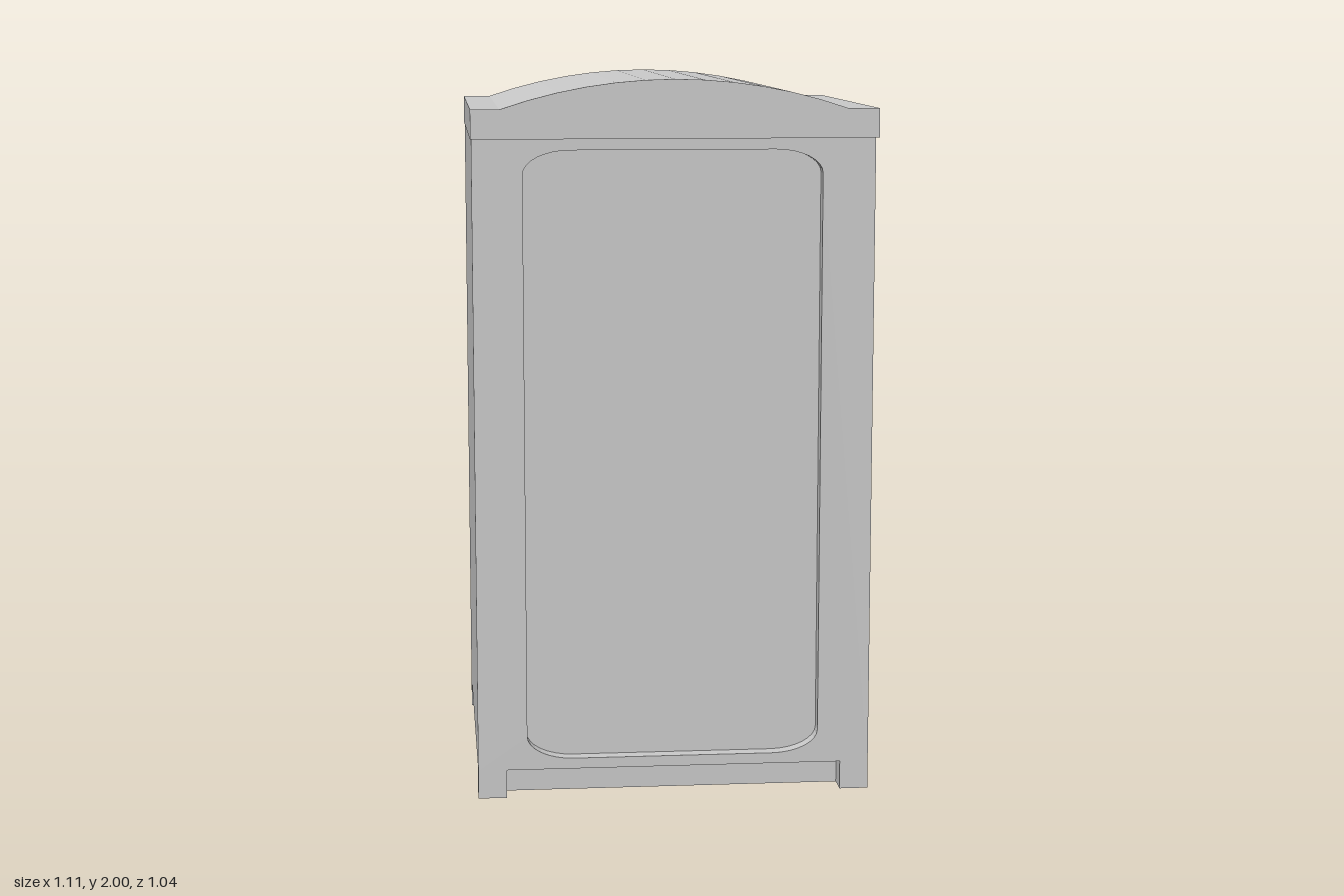
import * as THREE from 'three';

const material = new THREE.MeshStandardMaterial({ color: 0xcccccc });

// Outer limits of the cabinet
const X0 = -0.556, X1 = 0.547, Z = 0.513;
const FOOT_W = 0.08, FOOT_D = 0.066, FOOT_H = 0.08;
const LID_Y = 1.84, RECESS = 0.04;

function add(parent, name, geometry) {
  const mesh = new THREE.Mesh(geometry, material);
  mesh.name = name;
  parent.add(mesh);
}

// Box given by its two opposite corners
function boxBetween(x0, x1, y0, y1, z0, z1) {
  return new THREE.BoxGeometry(x1 - x0, y1 - y0, z1 - z0)
    .translate((x0 + x1) / 2, (y0 + y1) / 2, (z0 + z1) / 2);
}

// Rectangle outline with elliptical corners
function softRect(x0, x1, y0, y1, rx, ry) {
  const p = new THREE.Path(), k = 0.45;
  p.moveTo(x0 + rx, y0);
  p.lineTo(x1 - rx, y0);
  p.bezierCurveTo(x1 - rx * k, y0, x1, y0 + ry * k, x1, y0 + ry);
  p.lineTo(x1, y1 - ry);
  p.bezierCurveTo(x1, y1 - ry * k, x1 - rx * k, y1, x1 - rx, y1);
  p.lineTo(x0 + rx, y1);
  p.bezierCurveTo(x0 + rx * k, y1, x0, y1 - ry * k, x0, y1 - ry);
  p.lineTo(x0, y0 + ry);
  p.bezierCurveTo(x0, y0 + ry * k, x0 + rx * k, y0, x0 + rx, y0);
  return p;
}

export function createModel() {
  const model = new THREE.Group();
  model.name = 'cabinet';

  // Main body behind the front frame
  add(model, 'body', boxBetween(X0, X1, FOOT_H, LID_Y, -Z, Z - RECESS));

  // Front frame around the recessed door panel
  const frame = new THREE.Shape();
  frame.moveTo(X0, FOOT_H);
  frame.lineTo(X1, FOOT_H);
  frame.lineTo(X1, LID_Y);
  frame.lineTo(X0, LID_Y);
  frame.closePath();
  frame.holes.push(softRect(-0.418, 0.402, 0.11, 1.81, 0.13, 0.065));
  add(model, 'frontFrame', new THREE.ExtrudeGeometry(frame, {
    depth: RECESS, bevelEnabled: false, curveSegments: 8,
  }).translate(0, 0, Z - RECESS));

  // Inset plinth and four corner feet
  add(model, 'plinth', boxBetween(X0 + FOOT_W, X1 - FOOT_W, 0, FOOT_H, -Z + FOOT_D, Z - FOOT_D));
  for (const x of [X0, X1 - FOOT_W]) {
    for (const z of [-Z, Z - FOOT_D]) {
      add(model, 'foot', boxBetween(x, x + FOOT_W, 0, FOOT_H, z, z + FOOT_D));
    }
  }

  // Lid with flat shoulders and a shallow arched top
  const lid = new THREE.Shape();
  const half = 0.475, rise = 0.08, segments = 12;
  const radius = (half * half + rise * rise) / (2 * rise);
  const sweep = Math.asin(half / radius);
  lid.moveTo(-0.558, LID_Y);
  lid.lineTo(0.556, LID_Y);
  lid.lineTo(0.556, 1.92);
  for (let i = 0; i <= segments; i++) {
    const a = sweep * (1 - (2 * i) / segments);
    lid.lineTo(radius * Math.sin(a) - 0.004, 2 - radius * (1 - Math.cos(a)));
  }
  lid.lineTo(-0.558, 1.92);
  lid.closePath();
  add(model, 'lid', new THREE.ExtrudeGeometry(lid, {
    depth: 1.036, bevelEnabled: false,
  }).translate(0, 0, -0.518));

  return model;
}
